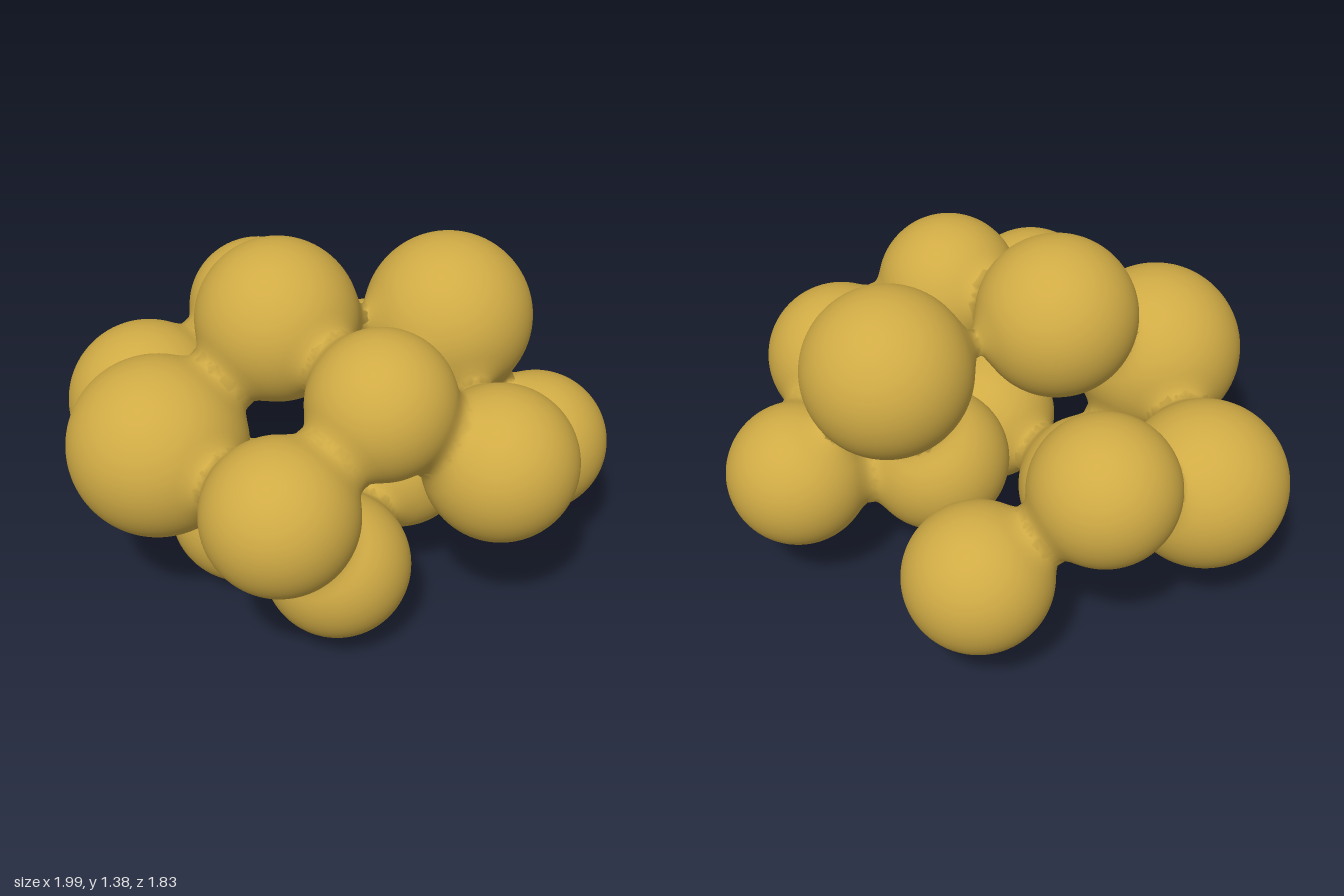
import * as THREE from 'three';

// x, y, z, radius of each ball in the cluster
const BALLS = [
  [-0.475, 0.54, -0.57, 0.31],
  [0.035, 0.785, -0.65, 0.27],
  [0.45, 0.475, -0.495, 0.27],
  [-0.67, 0.735, 0.01, 0.325],
  [-0.17, 1.09, -0.045, 0.295],
  [0.46, 1.005, 0.085, 0.31],
  [0.725, 0.51, 0.32, 0.267],
  [-0.47, 0.73, 0.58, 0.275],
  [-0.035, 0.99, 0.485, 0.265],
  [0.36, 0.72, 0.635, 0.28],
  [-0.185, 0.34, 0.45, 0.265],
  [-0.31, 0.275, -0.08, 0.272],
  [0.235, 0.49, 0.14, 0.27],
];
const BLEND = 0.1;      // softness of the fillets between touching balls
const REACH = 1.2;      // how far a fillet may pull a ball's skin outwards

// Distance to the softly blended cluster (negative inside)
function distance(x, y, z) {
  let d = Infinity;
  for (const [cx, cy, cz, r] of BALLS) {
    const e = Math.sqrt((x - cx) ** 2 + (y - cy) ** 2 + (z - cz) ** 2) - r;
    const h = Math.max(BLEND - Math.abs(d - e), 0);
    d = Math.min(d, e) - (h * h) / (4 * BLEND);
  }
  return d;
}

// Sphere whose skin is pushed out to the blended surface
function ballGeometry([cx, cy, cz, r]) {
  const geometry = new THREE.IcosahedronGeometry(1, 20);
  const pos = geometry.attributes.position;
  const nor = geometry.attributes.normal;
  const dir = new THREE.Vector3();
  const n = new THREE.Vector3();
  const e = 0.002;
  for (let i = 0; i < pos.count; i++) {
    dir.fromBufferAttribute(pos, i).normalize();
    let t = r;
    for (let s = 0; s < 40 && t < r * REACH; s++) {
      const d = distance(cx + dir.x * t, cy + dir.y * t, cz + dir.z * t);
      if (d > -0.0003) break;
      t -= d;
    }
    t = Math.min(t, r * REACH);
    const x = cx + dir.x * t, y = cy + dir.y * t, z = cz + dir.z * t;
    n.set(
      distance(x + e, y, z) - distance(x - e, y, z),
      distance(x, y + e, z) - distance(x, y - e, z),
      distance(x, y, z + e) - distance(x, y, z - e),
    ).normalize();
    pos.setXYZ(i, dir.x * t, dir.y * t, dir.z * t);
    nor.setXYZ(i, n.x, n.y, n.z);
  }
  return geometry;
}

export function createModel() {
  const group = new THREE.Group();
  group.name = 'ballCluster';
  const gold = new THREE.MeshStandardMaterial({ color: 0xd0ab45 });
  gold.name = 'gold';
  BALLS.forEach((ball, i) => {
    const mesh = new THREE.Mesh(ballGeometry(ball), gold);
    mesh.name = `ball${i + 1}`;
    mesh.position.set(ball[0], ball[1], ball[2]);
    group.add(mesh);
  });
  return group;
}
